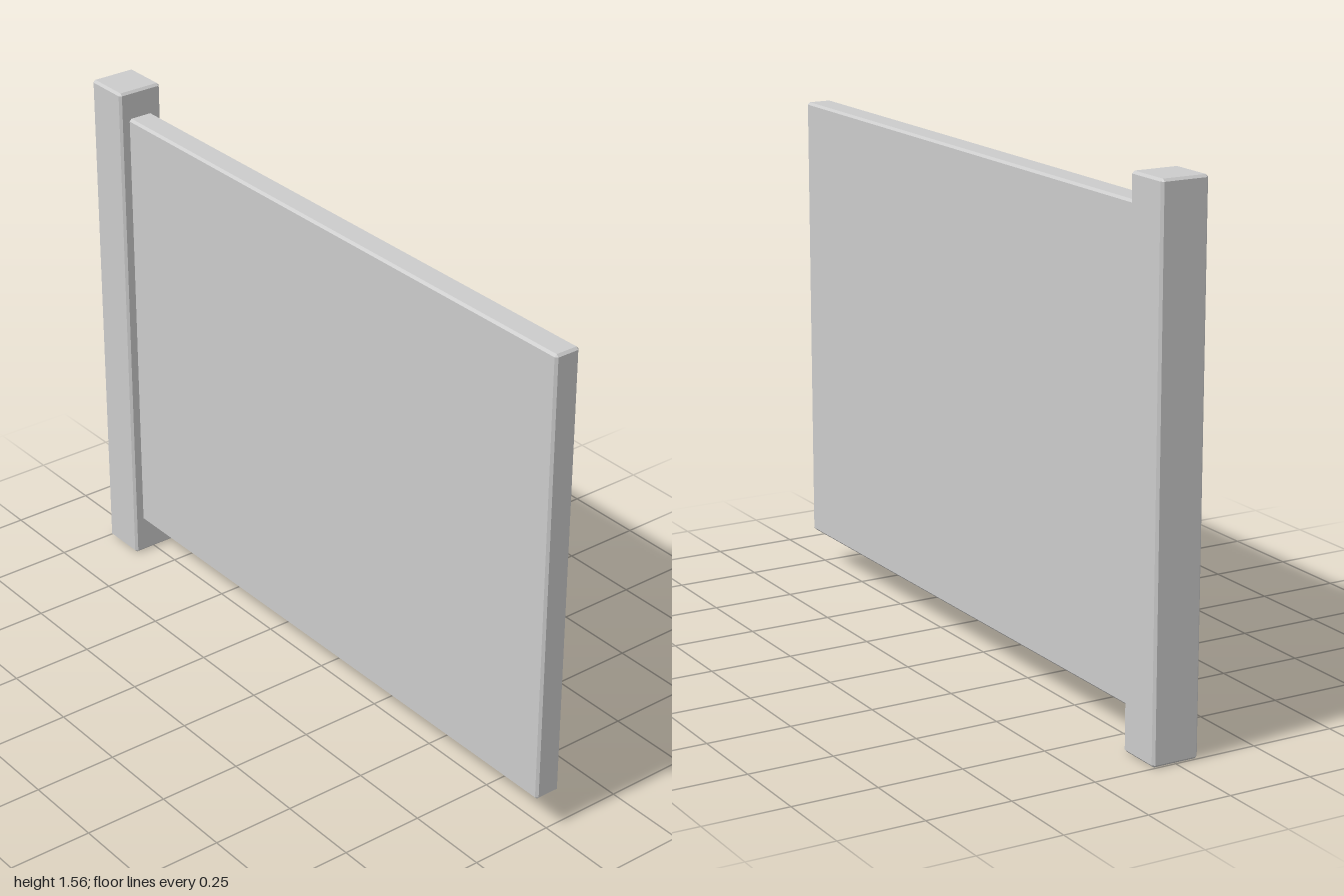
import * as THREE from 'three';

// Box with small chamfers on every edge, lofted from four octagonal rings.
function chamferedBox([x0, x1], [y0, y1], hz, b, openBottom = false) {
  const cx = (x0 + x1) / 2, hx = (x1 - x0) / 2, ix = hx - b, iz = hz - b;
  const wide = [[ix, hz], [hx, iz], [hx, -iz], [ix, -hz], [-ix, -hz], [-hx, -iz], [-hx, iz], [-ix, hz]];
  const inset = wide.map(([x, z]) => [Math.sign(x) * ix, Math.sign(z) * iz]);
  const rings = [[inset, y0], [wide, y0 + b], [wide, y1 - b], [inset, y1]]
    .map(([ring, y]) => ring.map(([x, z]) => new THREE.Vector3(cx + x, y, z)));
  const points = [];
  const tri = (p, q, r) => {
    if (!p.equals(q) && !q.equals(r) && !r.equals(p)) points.push(p, q, r);
  };
  for (let k = 0; k < 3; k++) {
    for (let i = 0; i < 8; i++) {
      const j = (i + 1) % 8, lo = rings[k], hi = rings[k + 1];
      tri(lo[i], lo[j], hi[j]);
      tri(lo[i], hi[j], hi[i]);
    }
  }
  // End caps
  const [bottom, , , top] = rings;
  tri(top[0], top[2], top[4]);
  tri(top[0], top[4], top[6]);
  if (!openBottom) {
    tri(bottom[0], bottom[4], bottom[2]);
    tri(bottom[0], bottom[6], bottom[4]);
  }
  const geometry = new THREE.BufferGeometry().setFromPoints(points);
  geometry.computeVertexNormals();
  return geometry;
}

export function createModel() {
  const group = new THREE.Group();
  group.name = 'fenceSection';
  const material = new THREE.MeshStandardMaterial({
    color: 0xcccccc, flatShading: true, side: THREE.DoubleSide,
  });
  const add = (name, geometry) => {
    const mesh = new THREE.Mesh(geometry, material);
    mesh.name = name;
    group.add(mesh);
  };

  // Square post, hollow at the foot
  add('post', chamferedBox([-1, -0.857], [0, 1.56], 0.071, 0.007, true));

  // Flat panel running from the post
  add('panel', chamferedBox([-0.87, 1], [0.11, 1.475], 0.04, 0.007));

  return group;
}
